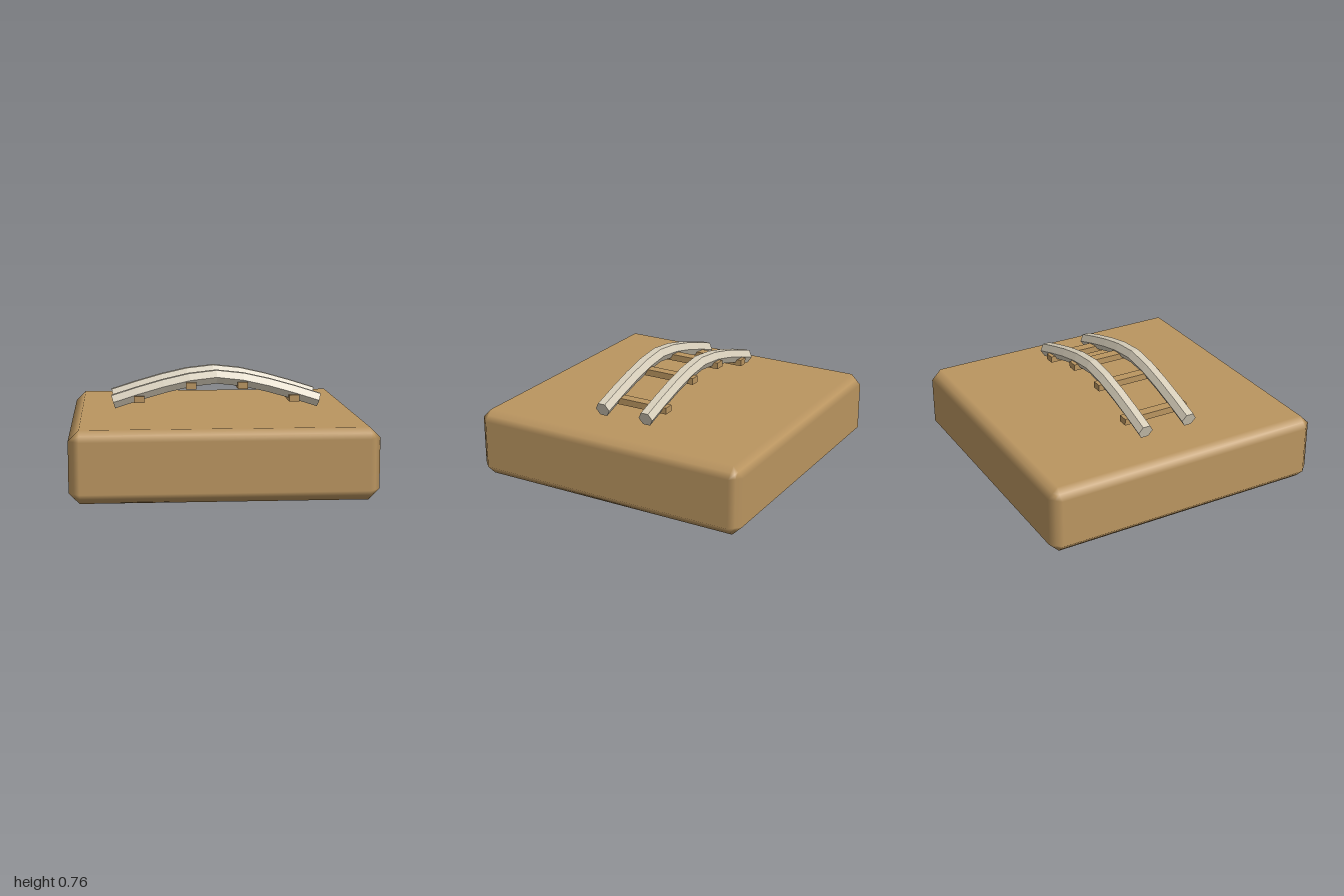
import * as THREE from 'three';
import { RoundedBoxGeometry } from 'three/addons/geometries/RoundedBoxGeometry.js';

const wood = new THREE.MeshStandardMaterial({ name: 'wood', color: 0xba9560 });
const paleRail = new THREE.MeshStandardMaterial({ name: 'paleRail', color: 0xd8cfbb });

// Box with a single flat chamfer on every edge and softly blended normals
function chamferedBox(w, h, d, r) {
  const geometry = new RoundedBoxGeometry(w, h, d, 1, r);
  const pos = geometry.attributes.position;
  const nor = geometry.attributes.normal;
  const inner = [w / 2 - r, h / 2 - r, d / 2 - r];
  for (let i = 0; i < pos.count; i++) {
    const p = [pos.getX(i), pos.getY(i), pos.getZ(i)];
    const n = [nor.getX(i), nor.getY(i), nor.getZ(i)];
    const sum = Math.abs(n[0]) + Math.abs(n[1]) + Math.abs(n[2]);
    const q = p.map((v, k) => Math.sign(v) * inner[k] + (n[k] / sum) * r);
    pos.setXYZ(i, q[0], q[1], q[2]);
  }
  return geometry;
}

// Six-sided bar swept along a shallow arch
function archedRail() {
  const hex = [];
  for (let i = 0; i < 6; i++) {
    const a = (i * Math.PI) / 3;
    hex.push(new THREE.Vector2(0.053 * Math.cos(a), 0.053 * Math.sin(a)));
  }
  const path = new THREE.CatmullRomCurve3([
    [-0.713, 0.548], [-0.357, 0.655], [0, 0.715], [0.357, 0.655], [0.713, 0.548],
  ].map(([x, y]) => new THREE.Vector3(x, y, 0)));
  return new THREE.ExtrudeGeometry(new THREE.Shape(hex), { steps: 8, extrudePath: path, bevelEnabled: false });
}

export function createModel() {
  const model = new THREE.Group();
  model.name = 'archedTrackOnBase';

  const add = (name, geometry, material, x, y, z) => {
    const mesh = new THREE.Mesh(geometry, material);
    mesh.name = name;
    mesh.position.set(x, y, z);
    model.add(mesh);
  };

  // Base slab
  add('base', chamferedBox(2, 0.475, 2, 0.07), wood, 0, 0.2375, 0);

  // Pair of rails
  const rail = archedRail();
  add('frontRail', rail, paleRail, 0, 0, 0.167);
  add('backRail', rail, paleRail, 0, 0, -0.167);

  // Cross ties
  const tie = new THREE.BoxGeometry(0.07, 0.045, 0.478);
  for (const side of [-1, 1]) {
    add('innerTie', tie, wood, side * 0.178, 0.659, 0);
    add('outerTie', tie, wood, side * 0.535, 0.568, 0);
  }
  return model;
}
